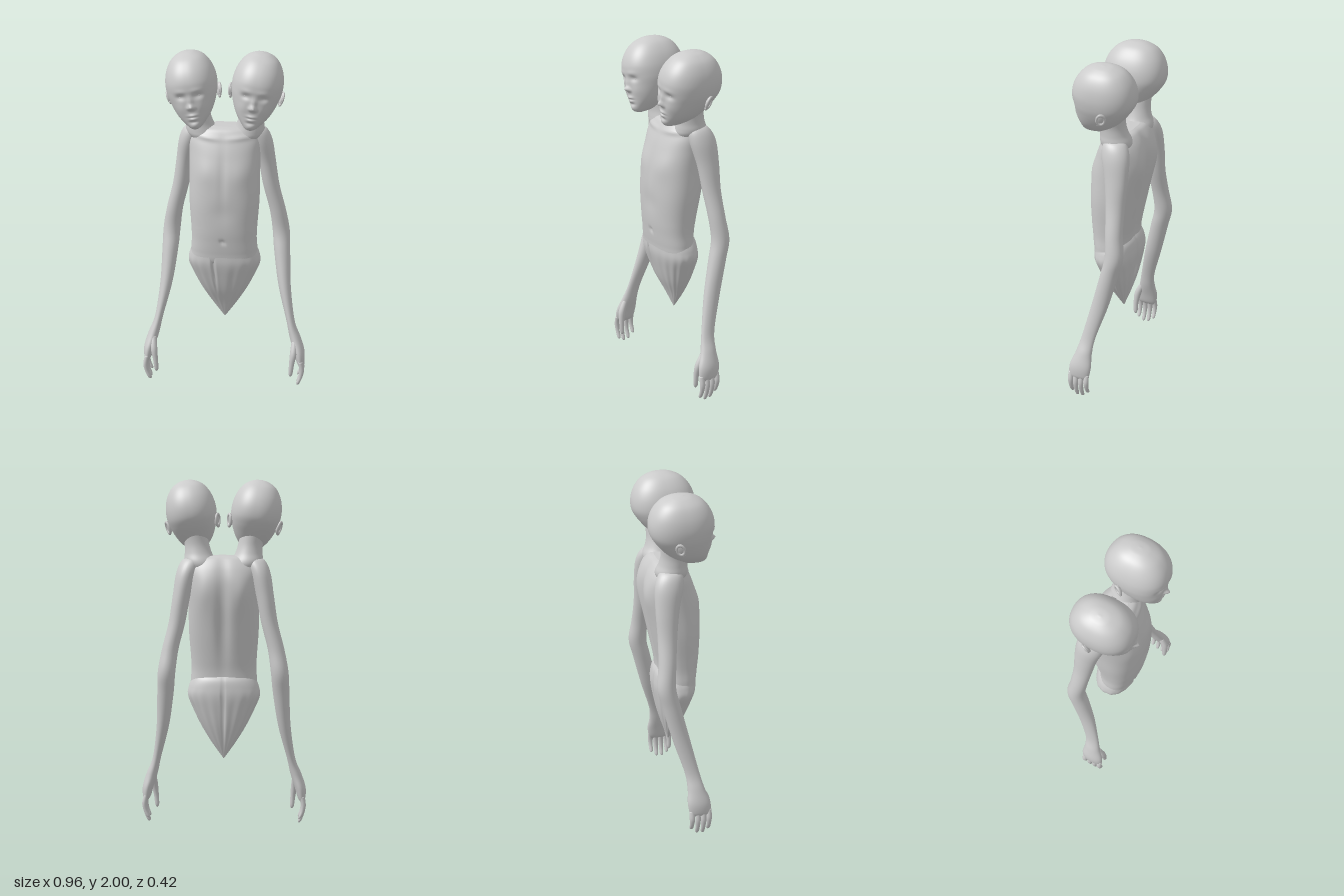
import * as THREE from 'three';

const material = new THREE.MeshStandardMaterial({ color: 0xcccccc });

// Catmull-Rom blend of one number across four rows
const blend = (a, b, c, d, t) =>
  0.5 * (2 * b + (c - a) * t + (2 * a - 5 * b + 4 * c - d) * t * t + (3 * b - a - 3 * c + d) * t * t * t);

// Soft bump, used to sculpt surface details
const bump = (dx, dy, sx, sy) => Math.exp(-((dx / sx) ** 2) - (dy / sy) ** 2);

// Smooth skin over horizontal rings listed from top to bottom.
// row: [y, centre x, centre z, half width, half depth]; power 1 = ellipse, below 1 = boxier
function loft(name, rows, { seg = 24, steps = 5, power = 1, sculpt } = {}) {
  const pos = [], index = [], p = new THREE.Vector3();
  const last = rows.length - 1, rings = last * steps;
  for (let i = 0; i <= rings; i++) {
    const k = Math.min(Math.floor(i / steps), last - 1), t = i / steps - k;
    const [y, cx, cz, rx, rz] = rows[k].map((v, n) =>
      blend(rows[Math.max(k - 1, 0)][n], v, rows[k + 1][n], rows[Math.min(k + 2, last)][n], t));
    for (let j = 0; j < seg; j++) {
      const a = (j / seg) * Math.PI * 2, c = Math.cos(a), s = Math.sin(a);
      p.set(
        cx + Math.max(rx, 0.001) * Math.sign(c) * Math.abs(c) ** power, y,
        cz + Math.max(rz, 0.001) * Math.sign(s) * Math.abs(s) ** power);
      if (sculpt) sculpt(p, a, cz);
      pos.push(p.x, p.y, p.z);
    }
  }
  for (let i = 0; i < rings; i++) {
    for (let j = 0; j < seg; j++) {
      const a = i * seg + j, b = i * seg + (j + 1) % seg;
      index.push(a, b, a + seg, b, b + seg, a + seg);
    }
  }
  // end caps
  const top = pos.length / 3, end = rings * seg;
  pos.push(rows[0][1], rows[0][0], rows[0][2], rows[last][1], rows[last][0], rows[last][2]);
  for (let j = 0; j < seg; j++) {
    const n = (j + 1) % seg;
    index.push(top, n, j, top + 1, end + j, end + n);
  }
  const geo = new THREE.BufferGeometry();
  geo.setAttribute('position', new THREE.Float32BufferAttribute(pos, 3));
  geo.setIndex(index);
  geo.computeVertexNormals();
  const mesh = new THREE.Mesh(geo, material);
  mesh.name = name;
  return mesh;
}

// Rows given as [y, half width, front z, back z] on the centre line
const profile = (list) => list.map(([y, w, f, b]) => [y, 0, (f + b) / 2, w, (f - b) / 2]);

function ball(name, [x, y, z], [sx, sy, sz]) {
  const mesh = new THREE.Mesh(new THREE.SphereGeometry(1, 24, 16), material);
  mesh.name = name;
  mesh.position.set(x, y, z);
  mesh.scale.set(sx, sy, sz);
  return mesh;
}

// Facial relief: [side offset, y, push, width, height]
const RELIEF = [
  [0, -0.07, 0.026, 0.014, 0.015], [0, -0.042, 0.011, 0.013, 0.028], [0.015, -0.077, 0.008, 0.01, 0.01],
  [0.05, -0.012, -0.013, 0.027, 0.017], [0.045, 0.018, 0.004, 0.035, 0.014],
  [0, -0.121, 0.009, 0.024, 0.009], [0, -0.142, 0.009, 0.02, 0.009], [0, -0.131, -0.004, 0.024, 0.004],
  [0, -0.16, -0.005, 0.025, 0.009], [0, -0.183, 0.006, 0.025, 0.016], [0.06, -0.08, 0.005, 0.03, 0.035],
];

function sculptFace(p, a, cz) {
  if (p.z < cz) return;
  let push = 0;
  for (const [x, y, amount, w, h] of RELIEF) {
    push += amount * bump(p.x - x, p.y - y, w, h);
    if (x) push += amount * bump(p.x + x, p.y - y, w, h);
  }
  p.z += push * Math.sin(a);
}

function makeHead(side) {
  const head = new THREE.Group();
  head.name = side > 0 ? 'leftHead' : 'rightHead';
  head.add(loft('skullAndFace', profile([
    [0.206, 0.004, 0, -0.015], [0.198, 0.045, 0.05, -0.065], [0.17, 0.09, 0.108, -0.12],
    [0.12, 0.123, 0.152, -0.16], [0.06, 0.14, 0.175, -0.18], [0, 0.141, 0.174, -0.178],
    [-0.05, 0.13, 0.168, -0.152], [-0.1, 0.111, 0.163, -0.112], [-0.14, 0.089, 0.158, -0.075],
    [-0.175, 0.06, 0.153, -0.035], [-0.2, 0.033, 0.142, 0.03], [-0.211, 0.008, 0.118, 0.09],
  ]), { seg: 120, steps: 10, power: 0.87, sculpt: sculptFace }));
  for (const s of [-1, 1]) {
    head.add(ball('eye', [s * 0.049, -0.012, 0.135], [0.022, 0.012, 0.019]));
    // ear: a rim, a filled shell and a lobe
    const ear = new THREE.Group();
    ear.name = 'ear';
    const rim = new THREE.Mesh(new THREE.TorusGeometry(0.023, 0.007, 10, 28), material);
    rim.name = 'earRim';
    rim.rotation.y = Math.PI / 2;
    rim.scale.set(0.95, 1.4, 1);
    ear.add(rim, ball('earShell', [-s * 0.006, 0, 0], [0.009, 0.036, 0.025]),
      ball('earLobe', [-s * 0.002, -0.034, 0.008], [0.008, 0.012, 0.012]));
    ear.position.set(s * 0.142, -0.042, -0.04);
    ear.rotation.set(-0.15, s * 0.45, -s * 0.12);
    head.add(ear);
  }
  head.position.set(side * 0.18, 1.795, -0.008);
  head.rotation.z = -side * 0.16;
  return head;
}

function makeArm(side) {
  const arm = new THREE.Group();
  arm.name = side > 0 ? 'leftArm' : 'rightArm';
  const add = (name, rows, opts) =>
    arm.add(loft(name, rows.map(([y, x, ...rest]) => [y, x * side, ...rest]), opts));
  add('armAndPalm', [
    [1.572, 0.165, -0.06, 0.01, 0.015], [1.552, 0.18, -0.066, 0.052, 0.062], [1.48, 0.207, -0.082, 0.059, 0.08],
    [1.35, 0.236, -0.1, 0.05, 0.067], [1.2, 0.262, -0.108, 0.047, 0.055], [1.05, 0.3, -0.119, 0.047, 0.05],
    [0.92, 0.321, -0.13, 0.05, 0.053], [0.8, 0.33, -0.104, 0.047, 0.052], [0.6, 0.35, -0.055, 0.036, 0.05],
    [0.4, 0.39, -0.003, 0.024, 0.042], [0.3, 0.42, 0.015, 0.032, 0.049], [0.22, 0.445, 0.026, 0.032, 0.066],
    [0.16, 0.454, 0.032, 0.024, 0.064], [0.135, 0.456, 0.034, 0.012, 0.054],
  ], { seg: 32, steps: 6 });
  // four fingers from front to back, curling inward
  [[0.083, 0.022], [0.05, 0.002], [0.016, 0.006], [-0.018, 0.036]].forEach(([z, tip]) => {
    const at = (t) => 0.17 + (tip - 0.17) * t;
    add('finger', [
      [at(0), 0.455, z, 0.013, 0.015], [at(0.35), 0.465, z, 0.014, 0.016], [at(0.65), 0.46, z, 0.012, 0.013],
      [at(0.92), 0.445, z, 0.01, 0.011], [at(1), 0.44, z, 0.003, 0.003],
    ], { seg: 14 });
  });
  add('thumb', [
    [0.29, 0.418, 0.045, 0.016, 0.02], [0.22, 0.414, 0.076, 0.02, 0.022], [0.15, 0.405, 0.086, 0.015, 0.016],
    [0.09, 0.4, 0.086, 0.012, 0.013], [0.072, 0.399, 0.085, 0.003, 0.003],
  ], { seg: 14 });
  return arm;
}

// Collarbones, ribs, navel, spine and shoulder blades
function sculptTorso(p, a, cz) {
  const x = Math.abs(p.x);
  if (p.z > cz) {
    p.z += 0.008 * bump(x - 0.1, p.y - 1.515 - x * 0.1, 0.08, 0.014) + 0.007 * bump(x - 0.1, p.y - 1.33, 0.06, 0.07)
      - 0.006 * bump(x, p.y - 1.3, 0.02, 0.15) - 0.006 * bump(x, p.y - 1.1, 0.07, 0.06)
      - 0.012 * bump(x, p.y - 0.925, 0.011, 0.014);
  } else {
    p.z += 0.02 * bump(x, p.y - 1.25, 0.035, 0.28) - 0.012 * bump(x - 0.11, p.y - 1.38, 0.05, 0.09);
  }
}

// Pleats and two narrow slits in the tapering lower end
function sculptTaper(p, a, cz) {
  const fade = THREE.MathUtils.smoothstep(0.84 - p.y, 0, 0.15);
  const f = 1 + 0.014 * fade * Math.sin(a * 18);
  p.x *= f;
  p.z = cz + (p.z - cz) * f;
  if (p.z > cz) p.z -= 0.02 * bump(p.x + 0.062 - (0.85 - p.y) * 0.08, p.y - 0.74, 0.007, 0.11);
  else p.z += 0.02 * bump(p.x, p.y - 0.68, 0.007, 0.13);
}

export function createModel() {
  const model = new THREE.Group();
  model.name = 'twoHeadedFigure';
  model.add(loft('torso', profile([
    [1.576, 0.09, 0.005, -0.105], [1.558, 0.165, 0.04, -0.135], [1.5, 0.2, 0.07, -0.17], [1.42, 0.202, 0.1, -0.188],
    [1.3, 0.2, 0.13, -0.182], [1.15, 0.2, 0.14, -0.152], [1, 0.19, 0.134, -0.12], [0.92, 0.187, 0.126, -0.105],
    [0.85, 0.192, 0.117, -0.1], [0.79, 0.19, 0.105, -0.1], [0.74, 0.12, 0.06, -0.07],
  ]), { seg: 112, steps: 8, power: 0.85, sculpt: sculptTorso }));
  model.add(loft('taperedLowerBody', profile([
    [0.9, 0.16, 0.09, -0.09], [0.865, 0.183, 0.111, -0.113], [0.82, 0.202, 0.114, -0.122], [0.77, 0.208, 0.11, -0.124],
    [0.7, 0.18, 0.091, -0.115], [0.6, 0.132, 0.057, -0.096], [0.5, 0.072, 0.01, -0.068], [0.4, 0.002, -0.03, -0.034],
  ]), { seg: 160, steps: 8, power: 0.86, sculpt: sculptTaper }));
  for (const s of [-1, 1]) {
    model.add(loft('neck', [
      [1.7, s * 0.165, -0.03, 0.072, 0.085], [1.64, s * 0.152, -0.035, 0.07, 0.078],
      [1.59, s * 0.143, -0.043, 0.077, 0.079], [1.55, s * 0.135, -0.05, 0.088, 0.088],
      [1.52, s * 0.125, -0.05, 0.085, 0.088], [1.48, s * 0.11, -0.05, 0.06, 0.07],
    ], { seg: 36 }));
    model.add(makeHead(s), makeArm(s));
  }
  // the whole body is turned slightly to its left
  model.rotation.y = 0.1;
  const group = new THREE.Group();
  group.add(model);
  return group;
}
